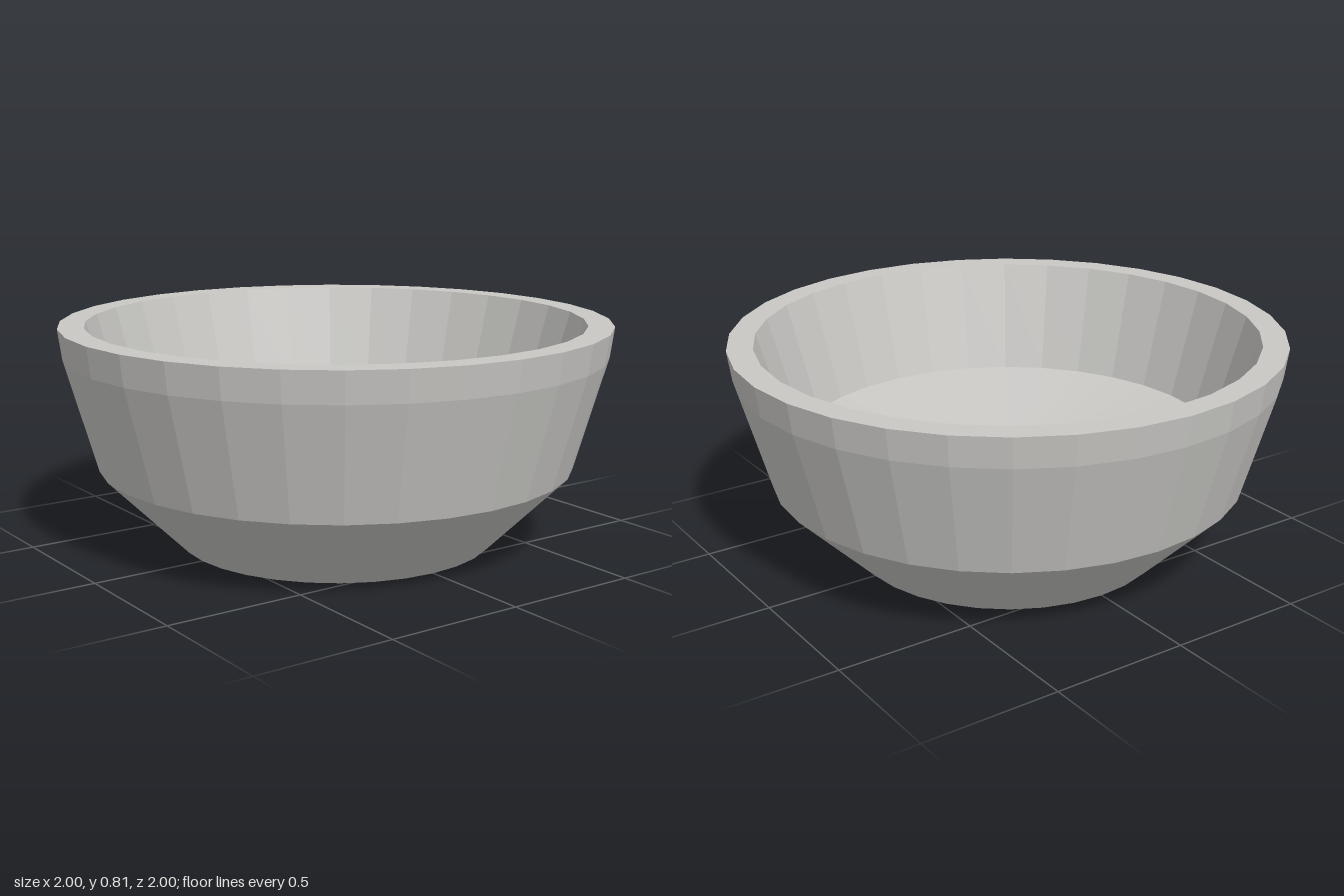
import * as THREE from 'three';

const SIDES = 32;

export function createModel() {
  const group = new THREE.Group();
  group.name = 'bowl';
  const stone = new THREE.MeshStandardMaterial({ color: 0xc9c8c5, flatShading: true });
  stone.name = 'pale grey';

  // Each section is a lathed [radius, height] profile; together they form a closed shell.
  const addSection = (name, profile) => {
    const points = profile.map(([r, y]) => new THREE.Vector2(r, y));
    const mesh = new THREE.Mesh(new THREE.LatheGeometry(points, SIDES), stone);
    mesh.name = name;
    group.add(mesh);
  };

  // Flat underside and flared foot
  addSection('base', [[0, 0], [0.58, 0], [0.87, 0.29]]);
  // Steep outer wall with a narrow band below the lip
  addSection('outerWall', [[0.87, 0.29], [0.985, 0.7], [1, 0.81]]);
  // Flat lip
  addSection('rim', [[1, 0.81], [0.907, 0.81]]);
  // Tapered inside
  addSection('innerWall', [[0.907, 0.81], [0.79, 0.4]]);
  // Shallow dished floor
  addSection('floor', [[0.79, 0.4], [0, 0.28]]);

  return group;
}
